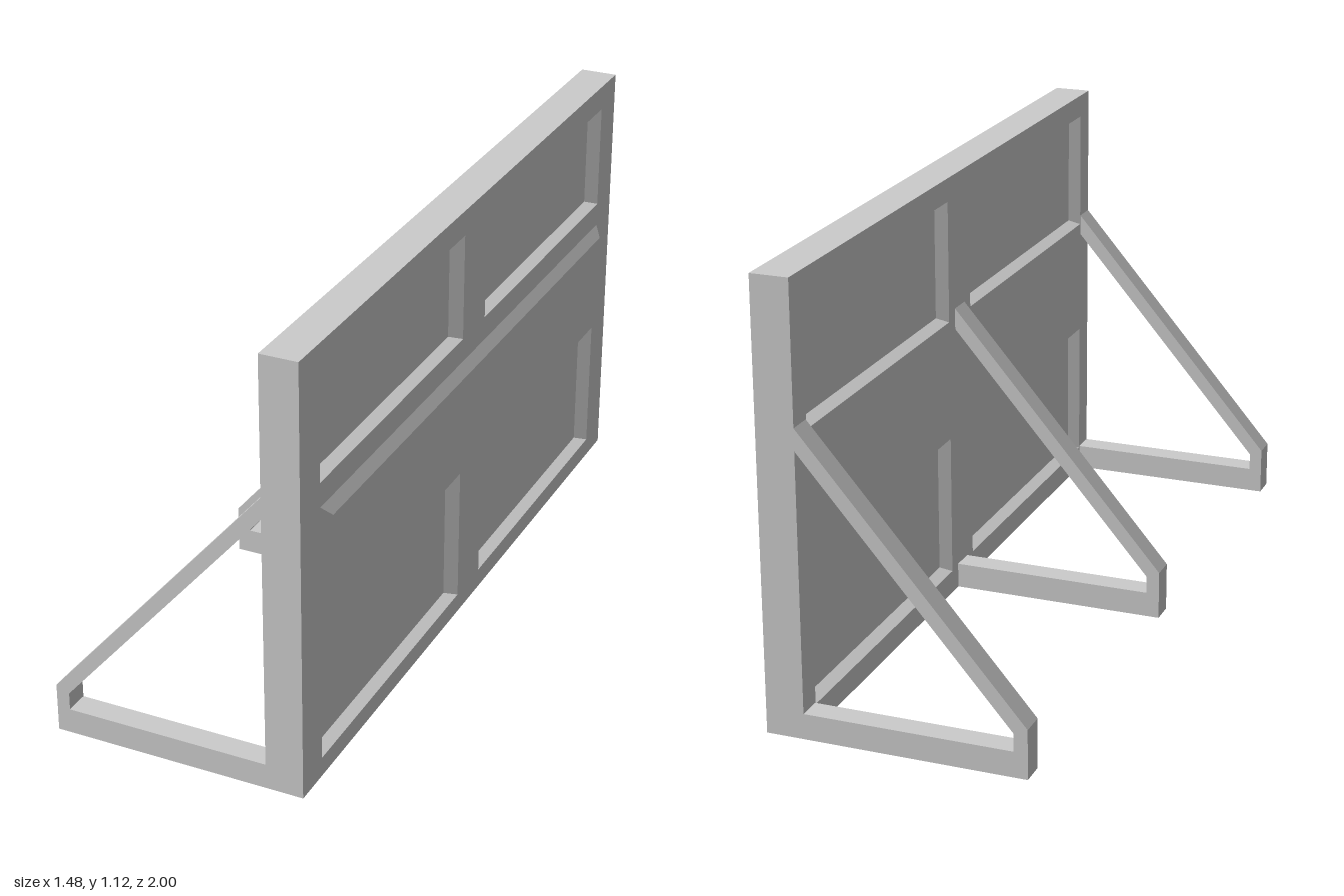
import * as THREE from 'three';

const L = 1.919, H = 1.12, T = 0.096; // wall length, height, thickness
const mat = new THREE.MeshStandardMaterial({ color: 0xcccccc, flatShading: true });

// Rectangles are [x0, y0, x1, y1]; corners run counter-clockwise.
const corners = ([x0, y0, x1, y1], z) => [[x0, y0, z], [x1, y0, z], [x1, y1, z], [x0, y1, z]];
const inset = ([x0, y0, x1, y1], w, h) => [x0 + w, y0 + h, x1 - w, y1 - h];

// Sloped band between two rectangles, optionally closed by the second one.
function panelGeometry(rectA, zA, rectB, zB, cap = true) {
  const a = corners(rectA, zA), b = corners(rectB, zB), pos = [];
  const quad = (p, q, r, s) => pos.push(...p, ...q, ...r, ...p, ...r, ...s);
  for (let i = 0; i < 4; i++) {
    const j = (i + 1) % 4;
    quad(a[i], a[j], b[j], b[i]);
  }
  if (cap) quad(...b);
  const g = new THREE.BufferGeometry();
  g.setAttribute('position', new THREE.Float32BufferAttribute(pos, 3));
  g.computeVertexNormals();
  return g;
}

function add(parent, name, geometry) {
  const mesh = new THREE.Mesh(geometry, mat);
  mesh.name = name;
  parent.add(mesh);
  return mesh;
}

function rectPath(rect, Type) {
  return new Type(corners(rect, 0).map(([x, y]) => new THREE.Vector2(x, y)));
}

// One face of the wall: flat frame with four sunken panels, lying at z = 0.
function wallFace(name, xIn, xOut, rows, depth, w, h) {
  const face = new THREE.Group();
  face.name = name;
  const frame = rectPath([-L / 2, 0, L / 2, H], THREE.Shape);
  for (const [y0, y1] of rows) {
    for (const rect of [[-xOut, y0, -xIn, y1], [xIn, y0, xOut, y1]]) {
      frame.holes.push(rectPath(rect, THREE.Path));
      add(face, 'sunkenPanel', panelGeometry(rect, 0, inset(rect, w, h), -depth));
    }
  }
  add(face, 'frame', new THREE.ShapeGeometry(frame));
  return face;
}

export function createModel() {
  const model = new THREE.Group();
  model.name = 'bracedWall';

  // The wall stands diagonally; its front face is the local plane z = 0.
  const wall = new THREE.Group();
  wall.name = 'wall';
  wall.position.set(0.285, 0, 0.1525);
  wall.rotation.y = 1.0826;
  model.add(wall);

  const front = wallFace('frontFace', 0.068, 0.861, [[0.05, 0.405], [0.78, 1.055]], 0.03, 0.023, 0.01);
  const back = wallFace('backFace', 0.07, 0.895, [[0.06, 0.43], [0.745, 1.06]], 0.03, 0.015, 0.012);
  back.rotation.y = Math.PI;
  back.position.z = -T;
  wall.add(front, back);

  // Raised middle panel with sloped edges
  const raised = [-0.861, 0.465, 0.861, 0.718];
  add(front, 'raisedPanel', panelGeometry(raised, 0, inset(raised, 0.024, 0.026), 0.02));

  // Outer edges of the wall
  const outline = [-L / 2, 0, L / 2, H];
  add(wall, 'wallEdges', panelGeometry(outline, -T, outline, 0, false));

  // Three braces behind the wall: foot, short tip and diagonal strut in one profile
  const width = 0.062;
  const profile = new THREE.Shape([
    [T, 0], [0.652, 0], [0.652, 0.125], [T, 0.77],
    [T, 0.715], [0.618, 0.11], [0.618, 0.065], [T, 0.065],
  ].map(([s, y]) => new THREE.Vector2(s, y)));
  const braceGeometry = new THREE.ExtrudeGeometry(profile, { depth: width, bevelEnabled: false })
    .translate(0, 0, -width / 2)
    .rotateY(Math.PI / 2);
  for (const side of [-1, 0, 1]) {
    add(wall, 'brace', braceGeometry).position.x = side * (L - width) / 2;
  }
  return model;
}
